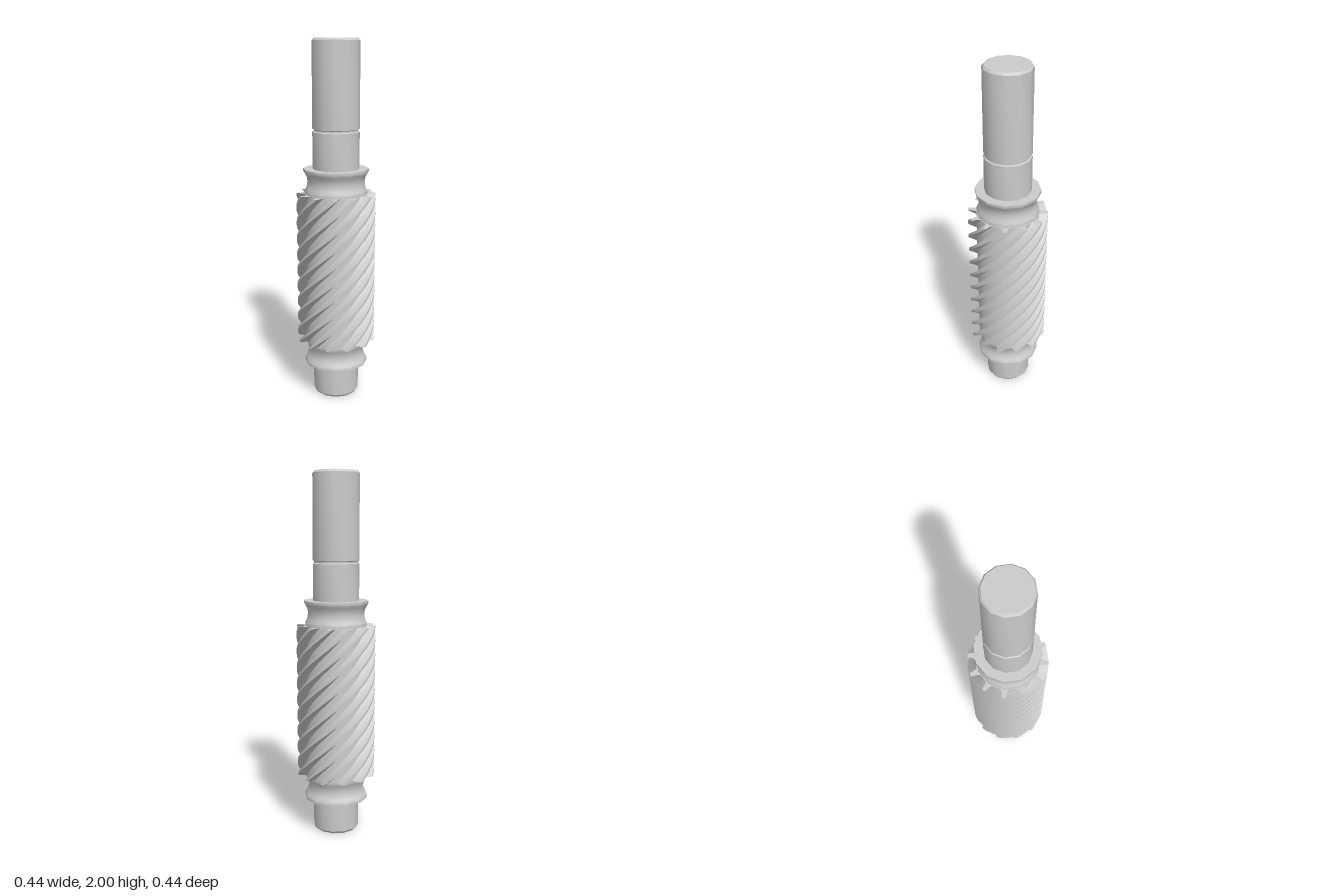
import * as THREE from 'three';
import { toCreasedNormals } from 'three/addons/utils/BufferGeometryUtils.js';

const SIDES = 12, TEETH = 12;
const PHASE = THREE.MathUtils.degToRad(17);
const TWIST = THREE.MathUtils.degToRad(281);
const Y0 = 0.325, Y1 = 1.175;

export function createModel() {
  const group = new THREE.Group();
  const material = new THREE.MeshStandardMaterial({ color: 0xcccccc });

  const add = (name, geometry, crease = 0.6) => {
    const mesh = new THREE.Mesh(toCreasedNormals(geometry, crease), material);
    mesh.name = name;
    group.add(mesh);
  };
  // Profile points are [radius, y], listed from bottom to top
  const turn = (name, points) => add(name, new THREE.LatheGeometry(
    points.map(([r, y]) => new THREE.Vector2(r, y)), SIDES, PHASE));

  // Shaft ends with chamfers and a narrow ring groove
  turn('lowerShaft', [[0, 0.005], [0.118, 0.005], [0.128, 0.018], [0.128, 0.2], [0, 0.2]]);
  turn('upperShaft', [[0, 1.3], [0.128, 1.3], [0.128, 1.512], [0.12, 1.516],
    [0.12, 1.524], [0.128, 1.528], [0.128, 1.988], [0.118, 2], [0, 2]]);

  // Waisted collars, given as [radius, distance from the flange face]
  const collar = [[0, 0], [0.179, 0], [0.179, 0.015], [0.168, 0.032], [0.16, 0.05],
    [0.157, 0.068], [0.158, 0.085], [0.163, 0.105], [0.172, 0.122], [0.172, 0.14], [0, 0.14]];
  turn('lowerCollar', collar.map(([r, d]) => [r, 0.188 + d]));
  turn('upperCollar', collar.map(([r, d]) => [r, 1.312 - d]).reverse());

  // Toothed section: cross-section outline as [angle in degrees, radius] per tooth
  const tooth = [[-8, 0.172], [-4.8, 0.183], [-2.8, 0.218], [2.8, 0.218], [4.8, 0.183], [8, 0.172]];
  const outline = [];
  for (let i = 0; i < TEETH; i++) {
    for (const [deg, r] of tooth) {
      const a = THREE.MathUtils.degToRad(deg + i * 360 / TEETH);
      outline.push(new THREE.Vector2(r * Math.cos(a), r * Math.sin(a)));
    }
  }
  const gear = new THREE.ExtrudeGeometry(new THREE.Shape(outline),
    { depth: Y1 - Y0, steps: 48, bevelEnabled: false });
  gear.rotateX(-Math.PI / 2);

  // Twist the teeth into helices
  const pos = gear.attributes.position, v = new THREE.Vector3(), up = new THREE.Vector3(0, 1, 0);
  for (let i = 0; i < pos.count; i++) {
    v.fromBufferAttribute(pos, i);
    v.applyAxisAngle(up, PHASE + TWIST * (v.y / (Y1 - Y0) - 1));
    pos.setXYZ(i, v.x, v.y + Y0, v.z);
  }
  add('helicalTeeth', gear, 0.5);

  return group;
}
